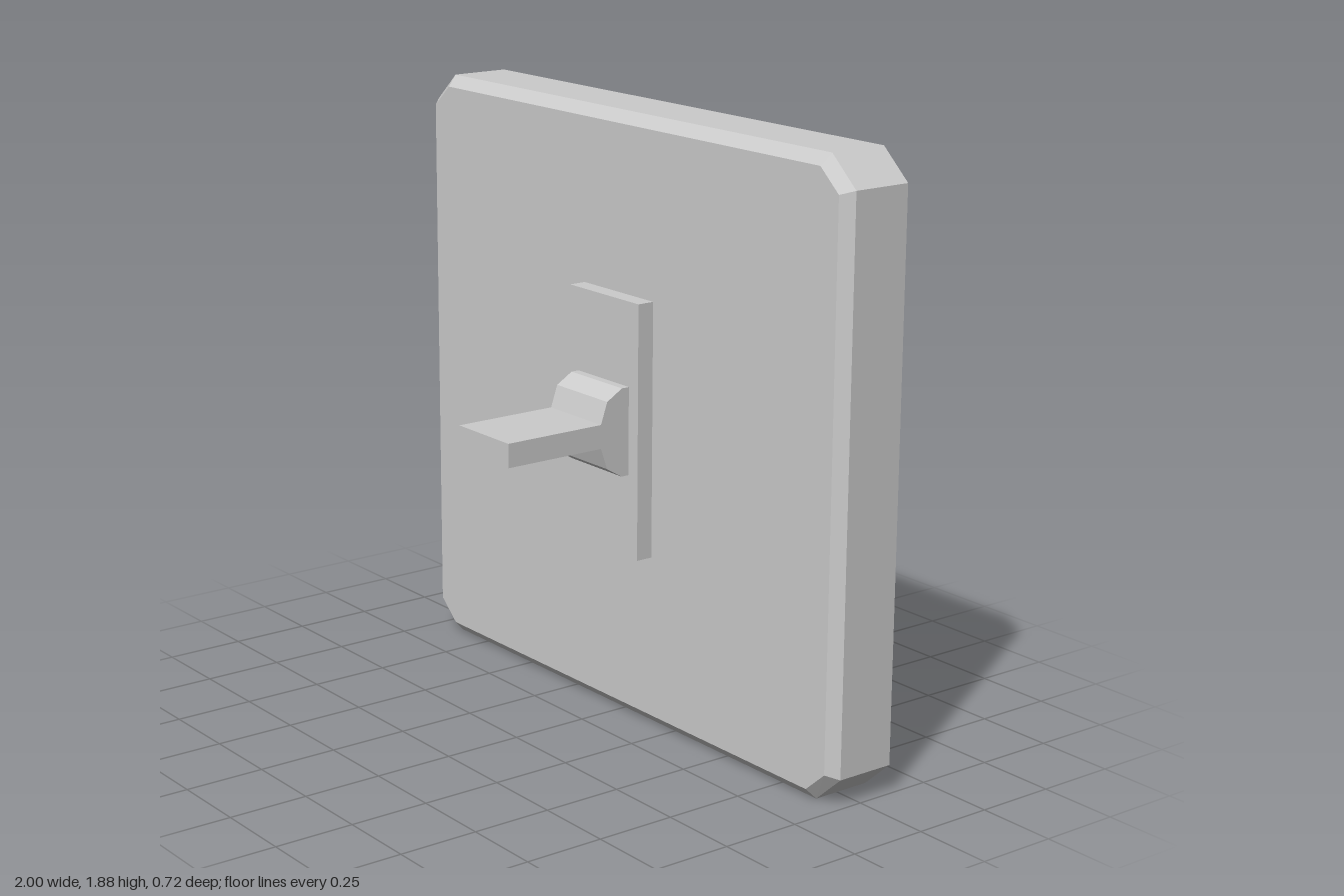
import * as THREE from 'three';

const MID_Y = 0.9425;
const material = new THREE.MeshStandardMaterial({ color: 0xcccccc, flatShading: true, side: THREE.DoubleSide });

// Counter-clockwise rectangle outline, with corners cut by cx, cy when given
function outline(hw, hh, cx = 0, cy = 0) {
  if (!cx) return [[hw, -hh], [hw, hh], [-hw, hh], [-hw, -hh]].map(([x, y]) => new THREE.Vector2(x, y + MID_Y));
  return [
    [hw, -hh + cy], [hw, hh - cy], [hw - cx, hh], [-hw + cx, hh],
    [-hw, hh - cy], [-hw, -hh + cy], [-hw + cx, -hh], [hw - cx, -hh],
  ].map(([x, y]) => new THREE.Vector2(x, y + MID_Y));
}

// Open band of quads joining two outlines at two depths
function band(back, zBack, front, zFront) {
  const pos = [];
  back.forEach((a, i) => {
    const j = (i + 1) % back.length;
    const b = back[j], c = front[j], d = front[i];
    pos.push(a.x, a.y, zBack, b.x, b.y, zBack, c.x, c.y, zFront);
    pos.push(a.x, a.y, zBack, c.x, c.y, zFront, d.x, d.y, zFront);
  });
  const geo = new THREE.BufferGeometry();
  geo.setAttribute('position', new THREE.Float32BufferAttribute(pos, 3));
  geo.computeVertexNormals();
  return geo;
}

// Flat face at depth z, optionally with a hole
function face(points, z, hole) {
  const shape = new THREE.Shape(points);
  if (hole) shape.holes.push(new THREE.Path(hole));
  return new THREE.ShapeGeometry(shape).translate(0, 0, z);
}

export function createModel() {
  const model = new THREE.Group();
  const add = (name, geo, parent = model) => {
    const mesh = new THREE.Mesh(geo, material);
    mesh.name = name;
    parent.add(mesh);
  };

  // Thin wall plate, open at the back, with a bevelled front rim
  const plate = new THREE.Group();
  plate.name = 'wallPlate';
  model.add(plate);
  const outer = outline(1, MID_Y, 0.1, 0.09);
  const inner = outline(0.967, 0.908, 0.077, 0.068);
  const panel = outline(0.168, 0.3975);
  add('plateSides', band(outer, -0.36, outer, -0.17), plate);
  add('plateBevel', band(outer, -0.17, inner, -0.137), plate);
  add('plateFront', face(inner, -0.137, panel), plate);

  // Raised panel around the lever, hollow behind
  add('panelSides', band(panel, -0.137, panel, -0.082), plate);
  add('panelFront', face(panel, -0.082), plate);

  // Lever: side profile (depth, half height) mirrored about the middle
  const upper = [[-0.081, 0.137], [-0.055, 0.137], [0, 0.104], [0.023, 0.037], [0.361, 0.037]];
  const lower = upper.map(([z, h]) => [z, -h]).reverse();
  const profile = [...upper, ...lower].map(([z, h]) => new THREE.Vector2(z, MID_Y + h));
  const lever = new THREE.ExtrudeGeometry(new THREE.Shape(profile), { depth: 0.25, bevelEnabled: false });
  lever.rotateY(-Math.PI / 2).translate(0.125, 0, 0);
  add('switchLever', lever);

  return model;
}
